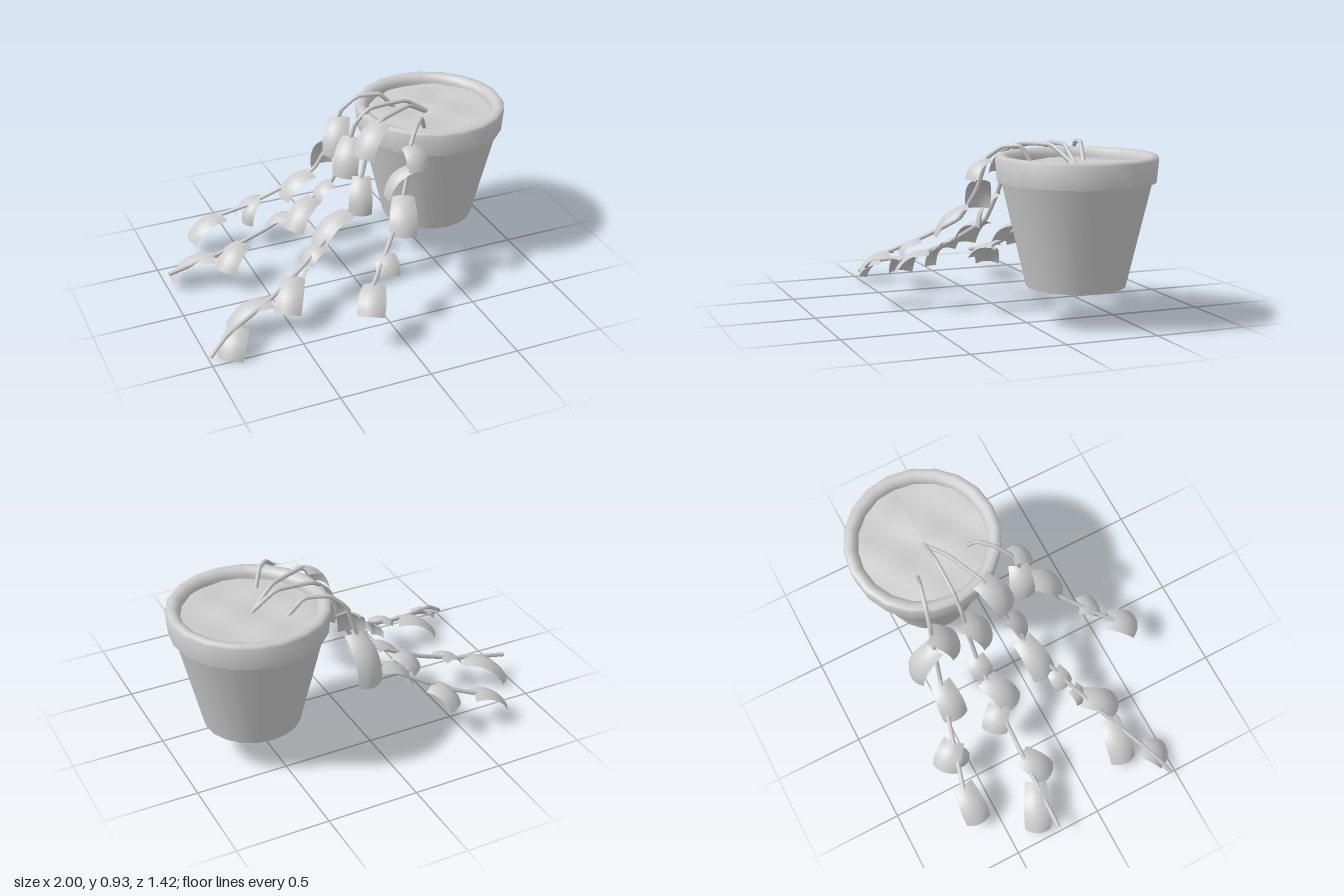
import * as THREE from 'three';
import { toCreasedNormals } from 'three/addons/utils/BufferGeometryUtils.js';

const solid = new THREE.MeshStandardMaterial({ color: 0xcccccc });
const thin = new THREE.MeshStandardMaterial({ color: 0xcccccc, side: THREE.DoubleSide });
const UP = new THREE.Vector3(0, 1, 0);
const lerp = THREE.MathUtils.lerp;

// Height of every vine against its distance past the rim
const fallLine = [[0, 0.905], [0.09, 0.83], [0.15, 0.65], [0.25, 0.48], [0.45, 0.365], [0.65, 0.27],
  [0.9, 0.185], [1.2, 0.125], [1.35, 0.03]];

// Vines in plan (x, z), lift of the trailing part; leaves as [distance past rim, turn in degrees, reach]
const vines = [
  { name: 'backVine', root: [0.41, -0.36], crest: [0.2, -0.41], end: [-0.62, -0.63], lift: -0.015,
    leaves: [[0.1, -70, 0.14], [0.14, 67, 0.15], [0.27, -15, 0.18], [0.56, 33, 0.15], [0.6, -39, 0.075], [0.79, -15, 0.2]] },
  { name: 'middleVine', root: [0.56, -0.245], crest: [0.21, -0.245], end: [-1, -0.25], lift: 0,
    leaves: [[0.115, -50, 0.14], [0.24, 0, 0.1], [0.35, -29, 0.19], [0.5, 39, 0.13], [0.78, -33, 0.17], [0.94, 24, 0.24]] },
  { name: 'frontVine', root: [0.55, -0.24], crest: [0.2, -0.08], end: [-1, 0.47], lift: -0.015,
    leaves: [[0, -3, 0.17], [0.16, -39, 0.11], [0.27, 14, 0.21], [0.49, 13, 0.1], [0.63, -2, 0.07], [0.7, -33, 0.19],
      [0.88, 30, 0.23], [1.12, -26, 0.14]] },
  { name: 'shortVine', root: [0.45, -0.05], crest: [0.34, 0.07], end: [-0.14, 0.57], lift: 0.04,
    leaves: [[0.09, -49, 0.11], [0.13, 61, 0.12], [0.2, -20, 0.17], [0.48, -29, 0.11], [0.52, -44, 0.08], [0.66, -14, 0.16]] },
];

function heightAt(d, lift) {
  const i = Math.max(1, fallLine.findIndex(p => p[0] >= d));
  const [d0, y0] = fallLine[i - 1], [d1, y1] = fallLine[i];
  return lerp(y0, y1, (d - d0) / (d1 - d0)) + lift * Math.min(d / 0.3, 1);
}

function addMesh(parent, name, geometry, material) {
  const mesh = new THREE.Mesh(geometry, material);
  mesh.name = name;
  parent.add(mesh);
}

// A strip arched along its length, cupped across, with a rounded flared tip
function leafGeometry(base, tip, width) {
  const dir = tip.clone().sub(base), length = dir.length();
  dir.normalize();
  const side = dir.clone().cross(UP).normalize();
  const normal = side.clone().cross(dir);
  const middle = base.clone().lerp(tip, 0.5).addScaledVector(normal, length * 0.35);
  const spine = new THREE.QuadraticBezierCurve3(base, middle, tip);
  const geometry = new THREE.PlaneGeometry(2, 1, 6, 8);
  const pos = geometry.attributes.position;
  for (let i = 0; i < pos.count; i++) {
    const v = pos.getX(i), u = THREE.MathUtils.clamp(pos.getY(i) + 0.5, 0, 1);
    const p = spine.getPoint(u)
      .addScaledVector(side, v * width * (0.39 + 0.11 * Math.sin(u * 2.2)))
      .addScaledVector(normal, -v * v * width * 0.16)
      .addScaledVector(dir, (1 - v * v) * u * u * length * 0.07);
    pos.setXYZ(i, p.x, p.y, p.z);
  }
  geometry.computeVertexNormals();
  return geometry;
}

function createVine({ name, root, crest, end, lift, leaves }) {
  const vine = new THREE.Group();
  vine.name = name;
  const dx = end[0] - crest[0], dz = end[1] - crest[1];
  const length = Math.hypot(dx, dz), heading = Math.atan2(dz, dx);
  const pointAt = d => new THREE.Vector3(crest[0] + dx * d / length, heightAt(d, lift), crest[1] + dz * d / length);

  // Stem rises from the soil, bends over the rim and trails down
  const distances = fallLine.map(p => p[0]).filter(d => d < length - 0.05);
  const points = [
    new THREE.Vector3(root[0], 0.82, root[1]),
    new THREE.Vector3(lerp(root[0], crest[0], 0.4), 0.912, lerp(root[1], crest[1], 0.4)),
    ...[...distances, length].map(pointAt),
  ];
  const path = new THREE.CatmullRomCurve3(points, false, 'catmullrom', 0.15);
  addMesh(vine, 'stem', new THREE.TubeGeometry(path, 64, 0.012, 7), thin);

  // Leaves follow the slope of the stem; those near the rim lie flatter, small ones hang
  for (const [d, turn, reach] of leaves) {
    const angle = heading + THREE.MathUtils.degToRad(turn);
    const base = pointAt(d);
    let fall = base.y - heightAt(Math.min(d + reach, 1.3), lift) + 0.35 * reach * d;
    if (d < 0.14) fall = Math.min(fall, (d < 0.1 ? 0.9 : 1.3) * reach);
    if (reach < 0.08) fall += 0.07;
    const tip = base.clone().add(new THREE.Vector3(Math.cos(angle) * reach, -fall, Math.sin(angle) * reach));
    const width = THREE.MathUtils.clamp(0.03 + 0.9 * reach, 0.07, 0.15);
    addMesh(vine, 'leaf', leafGeometry(base, tip, width), thin);
  }
  return vine;
}

export function createModel() {
  const model = new THREE.Group();
  model.name = 'pottedTrailingPlant';

  // Pot with drain hole, tapered wall and rolled rim
  const pot = new THREE.Group();
  pot.name = 'pot';
  pot.position.set(0.575, 0, -0.245);
  model.add(pot);
  const profile = [[0.014, 0.23], [0.014, 0.195], [0.26, 0.195], [0.39, 0.745], [0.411, 0.742], [0.422, 0.862],
    [0.412, 0.876], [0.385, 0.878], [0.36, 0.866], [0.348, 0.84], [0.348, 0.79]].map(p => new THREE.Vector2(...p));
  addMesh(pot, 'potShell', toCreasedNormals(new THREE.LatheGeometry(profile, 20), 1), thin);

  // Gently uneven soil
  const soil = new THREE.RingGeometry(0, 0.352, 24, 8);
  soil.rotateX(-Math.PI / 2);
  const pos = soil.attributes.position;
  for (let i = 0; i < pos.count; i++) {
    const x = pos.getX(i), z = pos.getZ(i);
    pos.setY(i, 0.825 + 0.01 * Math.sin(x * 17 + z * 6) * Math.cos(z * 15 - x * 5));
  }
  soil.computeVertexNormals();
  addMesh(pot, 'soil', soil, solid);

  // Trailing vines
  vines.forEach(v => model.add(createVine(v)));
  return model;
}
